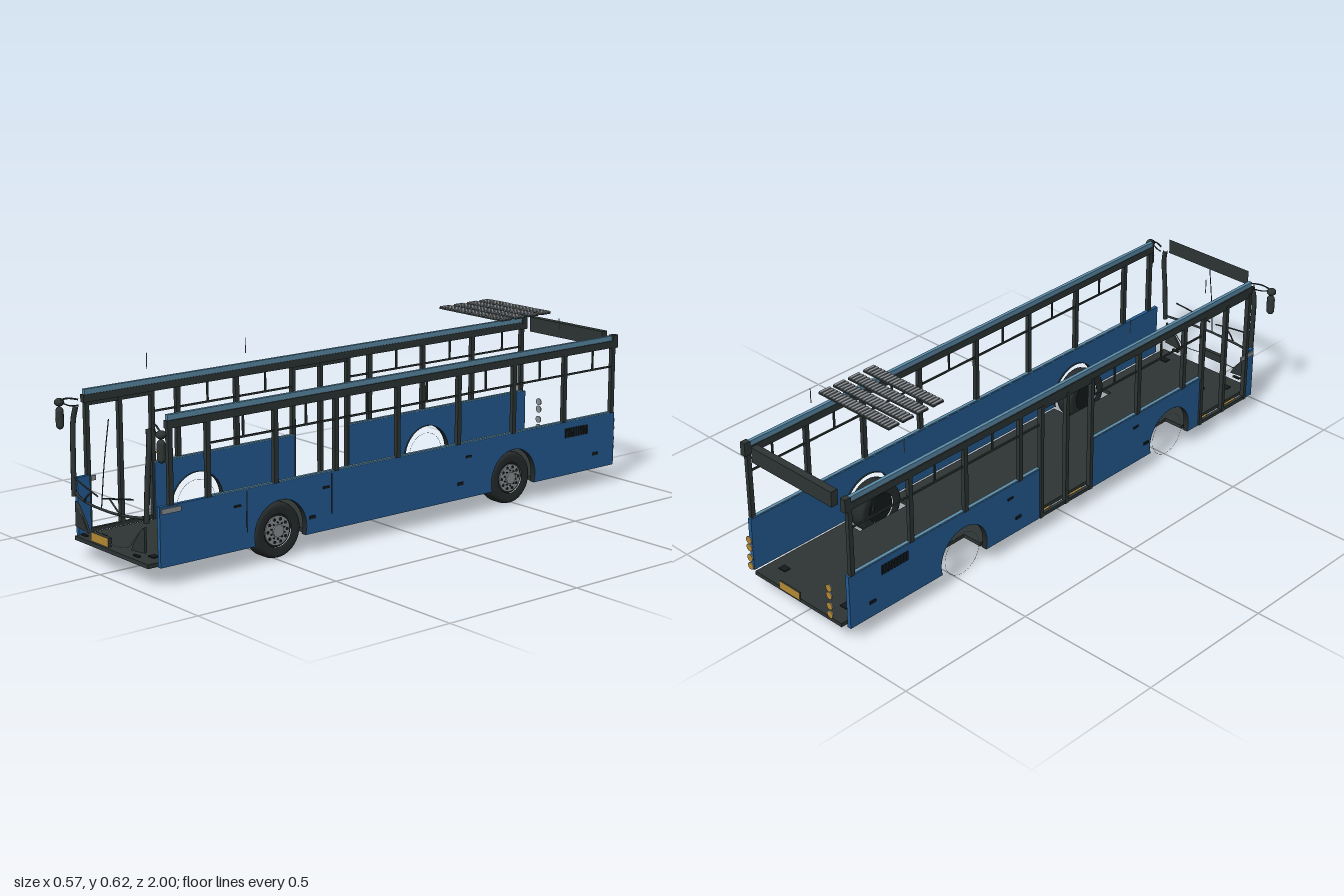
import * as THREE from 'three';

const mat = (name, color, side = THREE.FrontSide) => {
  const m = new THREE.MeshStandardMaterial({ color, side });
  m.name = name;
  return m;
};

export function createModel() {
  const blue = mat('bodyBlue', 0x235c94);
  const paleBlue = mat('railBlue', 0x5b8ba8);
  const dark = mat('darkTrim', 0x2d3534);
  const tyreMat = mat('tyreRubber', 0x262b2b);
  const grey = mat('metalGrey', 0x8b9094);
  const amber = mat('amber', 0xb58a35);
  const black = mat('black', 0x161a1b);
  const bus = new THREE.Group();
  bus.name = 'busShell';

  const add = (name, geo, material, x = 0, y = 0, z = 0) => {
    const m = new THREE.Mesh(geo, material);
    m.name = name;
    m.position.set(x, y, z);
    bus.add(m);
    return m;
  };
  // box given by its limits on each axis
  const box = (name, material, x0, x1, y0, y1, z0, z1) =>
    add(name, new THREE.BoxGeometry(x1 - x0, y1 - y0, z1 - z0), material,
      (x0 + x1) / 2, (y0 + y1) / 2, (z0 + z1) / 2);
  // box on one side of the body; distances from the centre line a < b
  const sideBox = (name, material, s, a, b, y0, y1, z0, z1) =>
    box(name, material, s > 0 ? a : -b, s > 0 ? b : -a, y0, y1, z0, z1);
  const tube = (name, material, r, pts, sides = 6) =>
    add(name, new THREE.TubeGeometry(new THREE.CatmullRomCurve3(
      pts.map(p => new THREE.Vector3(...p))), 16, r, sides), material);

  const AXLES = [-0.484, 0.492];
  const WY = 0.09, ARCH = 0.1;

  // floor sections, narrower between the wheels
  [[0.196, -0.97, -0.6], [0.125, -0.6, -0.386], [0.196, -0.386, 0.376],
    [0.125, 0.376, 0.593], [0.196, 0.593, 0.96]].forEach(([w, z0, z1]) =>
    box('floor', dark, -w, w, 0.056, 0.069, z0, z1));
  for (const x of [-0.14, 0.14]) for (const z of [-0.9, 0.9])
    box('floorHatch', black, x - 0.014, x + 0.014, 0.069, 0.072, z - 0.012, z + 0.012);

  // lower side panels with round wheel openings
  const panel = (s, z0, z1) => {
    const sh = new THREE.Shape();
    sh.moveTo(z0, 0.06);
    AXLES.filter(c => c > z0 && c < z1).forEach(c => {
      const a = Math.asin((WY - 0.06) / ARCH);
      sh.lineTo(c - ARCH * Math.cos(a), 0.06);
      sh.absarc(c, WY, ARCH, Math.PI + a, -a, true);
    });
    sh.lineTo(z1, 0.06);
    sh.lineTo(z1, 0.245);
    sh.lineTo(z0, 0.245);
    const geo = new THREE.ExtrudeGeometry(sh, { depth: 0.014, bevelEnabled: false, curveSegments: 28 });
    add('sidePanel', geo, blue, s > 0 ? 0.226 : -0.212).rotation.y = -Math.PI / 2;
  };
  panel(1, -0.96, 0.935);
  [[-0.96, -0.14], [0.093, 0.65], [0.89, 0.935]].forEach(([a, b]) => panel(-1, a, b));

  const posts = {
    1: [0.895, 0.76, 0.51, 0.275, 0.024, -0.235, -0.48, -0.715, -0.945],
    '-1': [0.553, 0.323, -0.235, -0.475, -0.705, -0.945],
  };
  const ticks = {
    1: [0.628, 0.39, 0.15, -0.1, -0.355, -0.6, -0.85],
    '-1': [0.436, 0.206, -0.355, -0.6, -0.85],
  };
  for (const s of [1, -1]) {
    // roof rails, window posts, opening window bars
    sideBox('roofRail', dark, s, 0.212, 0.23, 0.474, 0.498, -0.96, 0.905);
    sideBox('roofRailCap', paleBlue, s, 0.214, 0.226, 0.498, 0.515, -0.96, 0.9);
    sideBox('rearRailEnd', dark, s, 0.211, 0.231, 0.472, 0.517, -0.964, -0.94);
    posts[s].forEach(z => sideBox('windowPost', dark, s, 0.216, 0.23, 0.245, 0.475, z - 0.008, z + 0.008));
    ticks[s].forEach(z => sideBox('windowDivider', dark, s, 0.22, 0.225, 0.408, 0.475, z - 0.003, z + 0.003));
    (s > 0 ? [[-0.945, 0.745]] : [[-0.945, -0.14], [0.093, 0.65]]).forEach(([a, b]) => {
      sideBox('windowTransom', dark, s, 0.22, 0.225, 0.405, 0.411, a, b);
      sideBox('waistRail', paleBlue, s, 0.213, 0.225, 0.245, 0.249, a, b);
    });
    // dark lips around the wheel openings
    AXLES.forEach(z => {
      const a = 0.3;
      const lip = new THREE.CylinderGeometry(ARCH - 0.0005, ARCH - 0.0005, 0.02, 28, 1, true, -a, Math.PI + 2 * a);
      lip.rotateX(Math.PI / 2);
      lip.rotateZ(Math.PI / 2);
      lip.rotateY(Math.PI / 2);
      lip.rotateX(0);
      add('archLip', lip, archMat(), s * 0.216, WY, z);
    });
    // small panel fittings
    [0.655, 0.315, -0.28].forEach(z => sideBox('panelHandle', black, s, 0.226, 0.229, 0.195, 0.202, z - 0.012, z + 0.012));
    [0.37, -0.245, -0.87].forEach(z => sideBox('sideMarker', black, s, 0.226, 0.229, 0.108, 0.118, z - 0.012, z + 0.012));
    if (s > 0) [0.62, 0.292].forEach(z => sideBox('panelSeam', black, s, 0.226, 0.227, 0.11, 0.24, z - 0.0015, z + 0.0015));
    sideBox('frontBadge', grey, s, 0.226, 0.23, 0.222, 0.238, 0.86, 0.93);
    for (let i = 0; i < 9; i++)
      sideBox('louvre', black, s, 0.226, 0.229, 0.19, 0.222, -0.83 + i * 0.0125, -0.822 + i * 0.0125);

    // mirrors on double arms
    const head = add('mirrorHead', new THREE.CapsuleGeometry(0.0145, 0.042, 6, 14), dark, s * 0.27, 0.424, 0.955);
    head.scale.z = 0.8;
    const cap = add('mirrorCap', new THREE.SphereGeometry(0.016, 14, 10), dark, s * 0.271, 0.473, 0.955);
    cap.scale.y = 0.8;
    box('mirrorMarker', amber, s * 0.268 - 0.006, s * 0.268 + 0.006, 0.421, 0.423, 0.966, 0.969);
    tube('mirrorArm', dark, 0.0028, [[s * 0.2, 0.49, 0.93], [s * 0.235, 0.49, 0.945], [s * 0.268, 0.48, 0.955]]);
    tube('mirrorBrace', dark, 0.0022, [[s * 0.2, 0.472, 0.93], [s * 0.235, 0.468, 0.945], [s * 0.265, 0.476, 0.955]]);

    // windscreen pillars and lower frame
    tube('windscreenPillar', dark, 0.0085, [[s * 0.193, 0.475, 0.945], [s * 0.202, 0.43, 0.95],
      [s * 0.199, 0.33, 0.956], [s * 0.194, 0.195, 0.96]], 8);
    tube('windscreenSill', dark, 0.0045, [[s * 0.19, 0.208, 0.958], [s * 0.13, 0.203, 0.975],
      [s * 0.06, 0.2, 0.985], [0, 0.2, 0.988]]);
    // wipers
    tube('wiperBlade', dark, 0.0025, [[s * 0.16, 0.262, 0.978], [s * 0.085, 0.249, 0.986], [s * 0.012, 0.236, 0.99]]);
    tube('wiperArm', dark, 0.0028, [[s * 0.098, 0.202, 0.985], [s * 0.075, 0.224, 0.99], [s * 0.048, 0.243, 0.99]]);

    // headlamp panels and grille line
    const lamp = new THREE.Shape();
    [[0.186, 0.181], [0.172, 0.172], [0.128, 0.12], [0.115, 0.095], [0.186, 0.102]].forEach(([x, y], i) =>
      i ? lamp.lineTo(s * x, y) : lamp.moveTo(s * x, y));
    add('headlampPanel', new THREE.ExtrudeGeometry(lamp, { depth: 0.008, bevelEnabled: false }), dark, 0, 0, 0.955);
    tube('headlampTrim', grey, 0.0018, [[s * 0.178, 0.178, 0.964], [s * 0.15, 0.148, 0.966], [s * 0.125, 0.117, 0.97]]);
    tube('grilleLine', grey, 0.0016, [[s * 0.125, 0.117, 0.968], [s * 0.112, 0.106, 0.975],
      [s * 0.085, 0.101, 0.982], [s * 0.046, 0.102, 0.986]]);
    box('bumperSlot', black, s * 0.14 - 0.014, s * 0.14 + 0.014, 0.081, 0.086, 0.955, 0.965);

    // stacked rear lamps
    [0.11, 0.14, 0.178, 0.205].forEach(y => {
      const g = new THREE.CylinderGeometry(0.0125, 0.0125, 0.004, 18);
      g.rotateX(Math.PI / 2);
      add('rearLamp', g, [grey, grey, amber], s * 0.18, y, -0.997);
    });
  }

  // arch lips show from both faces
  function archMat() {
    return archMat.m ??= mat('archDark', 0x222827, THREE.DoubleSide);
  }

  // double doors on the right side
  [[-0.14, 0.093], [0.65, 0.89]].forEach(([a, b]) => {
    const mid = (a + b) / 2;
    [a, mid, b].forEach(z => sideBox('doorPost', dark, -1, 0.216, 0.232, 0.062, 0.475, z - 0.007, z + 0.007));
    sideBox('doorSill', dark, -1, 0.218, 0.23, 0.062, 0.074, a, b);
    sideBox('doorHead', dark, -1, 0.218, 0.23, 0.462, 0.475, a, b);
    [-0.077, 0.077].forEach(d =>
      sideBox('doorStep', amber, -1, 0.197, 0.221, 0.056, 0.06, mid + d - 0.029, mid + d + 0.029));
  });

  // wheels on the left side
  const tyreProfile = [[0.052, -0.03], [0.075, -0.034], [0.085, -0.029], [0.0885, -0.018],
    [0.0885, 0.018], [0.085, 0.029], [0.075, 0.034], [0.052, 0.03]].map(p => new THREE.Vector2(...p));
  AXLES.forEach(z => {
    const tyre = new THREE.LatheGeometry(tyreProfile, 36);
    tyre.rotateZ(-Math.PI / 2);
    add('tyre', tyre, tyreMat, 0.18, 0.0885, z);
    const disc = (name, r, len, m, x) => {
      const g = new THREE.CylinderGeometry(r, r, len, 28);
      g.rotateZ(-Math.PI / 2);
      return add(name, g, m, x, 0.0885, z);
    };
    disc('wheelWell', 0.0525, 0.05, black, 0.18);
    disc('rim', 0.047, 0.006, grey, 0.206);
    disc('hub', 0.02, 0.012, grey, 0.209);
    for (let i = 0; i < 10; i++) {
      const t = i * Math.PI / 5;
      const hole = disc('rimHole', 0.005, 0.002, black, 0.2095);
      hole.position.y += 0.037 * Math.sin(t);
      hole.position.z += 0.037 * Math.cos(t);
      const nut = disc('wheelNut', 0.0025, 0.005, black, 0.2105);
      nut.position.y += 0.026 * Math.sin(t + 0.3);
      nut.position.z += 0.026 * Math.cos(t + 0.3);
    }
    // bare locating ring on the right side
    add('wheelRing', new THREE.TorusGeometry(0.074, 0.0005, 4, 40), grey, -0.215, 0.0885, z).rotation.y = Math.PI / 2;
  });

  // destination boxes: a solid one at the rear, a back face at the front
  box('rearDisplay', dark, -0.176, 0.176, 0.47, 0.522, -0.967, -0.942);
  add('frontDisplay', new THREE.PlaneGeometry(0.352, 0.052), dark, 0, 0.496, 0.945).rotation.y = Math.PI;

  // windscreen divider and number plates
  tube('windscreenDivider', dark, 0.0016, [[0, 0.2, 0.988], [0, 0.33, 0.975], [0, 0.47, 0.955]]);
  box('frontPlate', [dark, dark, dark, dark, amber, dark], -0.046, 0.046, 0.094, 0.122, 0.984, 0.998);
  box('rearPlate', [dark, dark, dark, dark, dark, amber], -0.046, 0.046, 0.094, 0.122, -1, -0.994);

  // ribbed roof vents
  [-0.693, -0.635, -0.574, -0.511].forEach(z => {
    box('roofVent', dark, -0.153, 0.153, 0.608, 0.614, z - 0.022, z + 0.022);
    for (let i = 0; i < 22; i++) {
      const x = -0.147 + i * 0.014;
      box('ventRib', grey, x - 0.005, x + 0.005, 0.614, 0.617, z - 0.021, z + 0.021);
    }
  });

  // slender roof rods
  [[-1, 0.677], [-1, 0.297], [-1, -0.703], [1, -0.703]].forEach(([s, z]) =>
    box('roofRod', grey, s * 0.205 - 0.001, s * 0.205 + 0.001, 0.55, 0.6, z - 0.001, z + 0.001));

  return bus;
}
